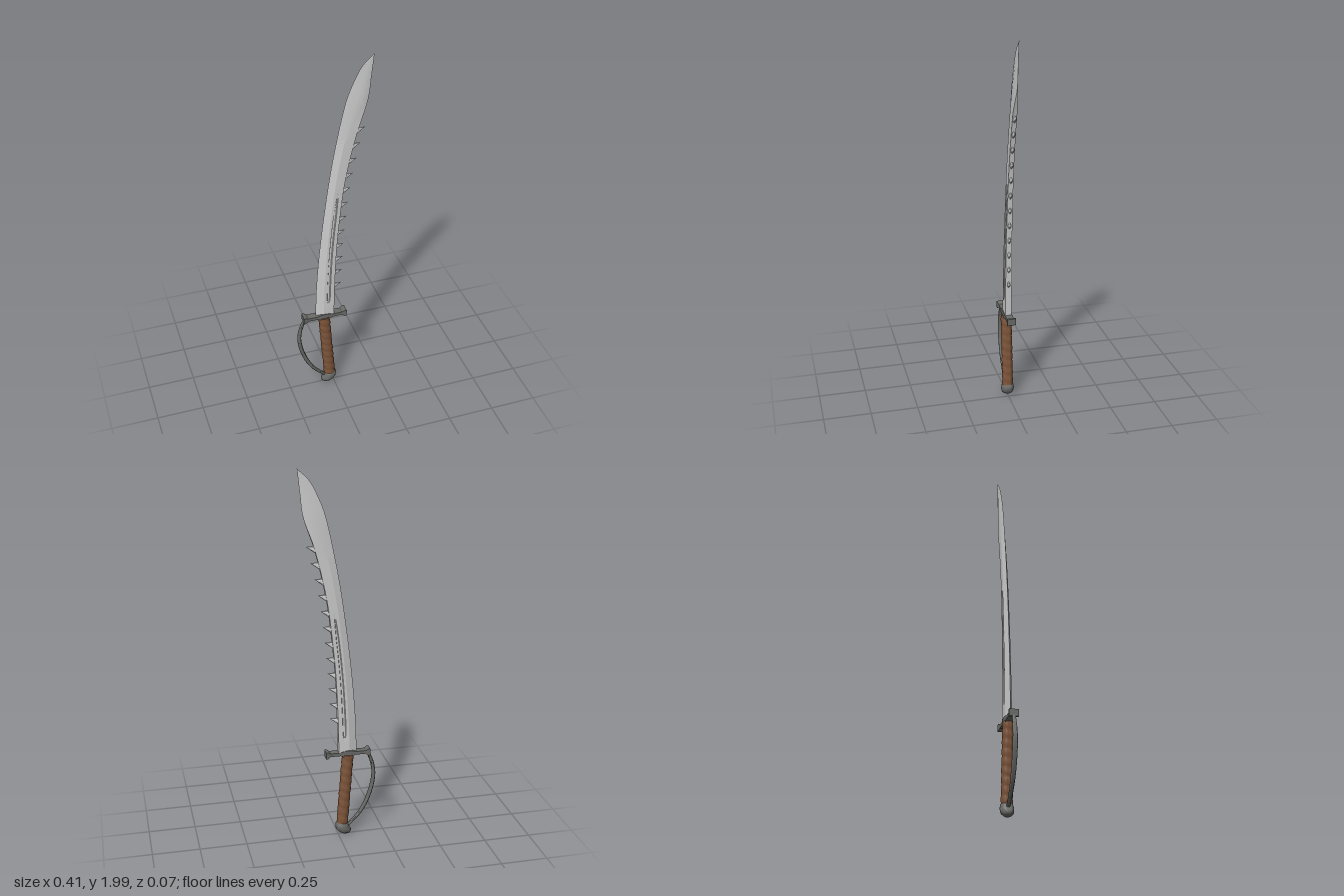
import * as THREE from 'three';
import { toCreasedNormals } from 'three/addons/utils/BufferGeometryUtils.js';

const steel = new THREE.MeshStandardMaterial({ color: 0xcccccc });
const iron = new THREE.MeshStandardMaterial({ color: 0x6a6a68 });
const leather = new THREE.MeshStandardMaterial({ color: 0x7d5439 });

// Skin a list of equal-length rings of [x, y, z] and close both ends.
function loft(rings, crease) {
  const n = rings[0].length;
  const pos = rings.flat(2);
  const idx = [];
  for (let r = 0; r < rings.length - 1; r++) {
    for (let i = 0; i < n; i++) {
      const a = r * n + i, b = r * n + (i + 1) % n;
      idx.push(a, b, b + n, a, b + n, a + n);
    }
  }
  [0, rings.length - 1].forEach((r) => {
    const mid = [0, 1, 2].map((k) => rings[r].reduce((s, p) => s + p[k], 0) / n);
    const c = pos.length / 3;
    pos.push(...mid);
    for (let i = 0; i < n; i++) {
      const a = r * n + i, b = r * n + (i + 1) % n;
      if (r === 0) idx.push(c, b, a);
      else idx.push(c, a, b);
    }
  });
  const g = new THREE.BufferGeometry();
  g.setAttribute('position', new THREE.Float32BufferAttribute(pos, 3));
  g.setIndex(idx);
  return toCreasedNormals(g, crease);
}

// Sweep an ellipse along stations [x, y, radius in plane, radius in z].
function sweep(stations, sides, crease, turn = 0, ripple = () => 1) {
  const last = stations.length - 1;
  return loft(stations.map(([x, y, r, rz], k) => {
    const p = stations[Math.max(k - 1, 0)], q = stations[Math.min(k + 1, last)];
    const d = new THREE.Vector2(q[0] - p[0], q[1] - p[1]).normalize();
    return Array.from({ length: sides }, (_, i) => {
      const a = turn + i / sides * Math.PI * 2;
      const f = ripple(k / last, a);
      const u = r * f * Math.cos(a);
      return [x - d.y * u, y + d.x * u, rz * f * Math.sin(a)];
    });
  }), crease);
}

// Smooth x-at-height lookup through [x, y] points.
function outline(points) {
  const pts = new THREE.CatmullRomCurve3(points.map(([x, y]) => new THREE.Vector3(x, y, 0)), false, 'centripetal').getPoints(300);
  return (y) => {
    let i = 1;
    while (i < pts.length - 1 && pts[i].y < y) i++;
    const a = pts[i - 1], b = pts[i];
    return THREE.MathUtils.lerp(a.x, b.x, THREE.MathUtils.clamp((y - a.y) / (b.y - a.y), 0, 1));
  };
}

const edgeX = outline([[-0.1, 0.49], [-0.091, 0.71], [-0.065, 1], [-0.02, 1.345], [0.012, 1.53],
  [0.065, 1.77], [0.095, 1.85], [0.145, 1.945], [0.203, 2]]);
const spineX = outline([[0, 0.49], [0.004, 0.68], [0.015, 0.92], [0.034, 1.13], [0.058, 1.32],
  [0.1, 1.52], [0.127, 1.62], [0.177, 1.77], [0.19, 1.88], [0.203, 2]]);

// Blade: sharp front edge, thick spine, a fuller on both faces, double-edged tip.
function bladeGeometry() {
  const rows = 90;
  const rings = [];
  for (let k = 0; k <= rows; k++) {
    const y = 0.49 + 1.51 * (1 - (1 - k / rows) ** 1.25);
    const L = edgeX(y), R = spineX(y);
    const tip = THREE.MathUtils.smoothstep(y, 1.72, 2);
    const t = THREE.MathUtils.lerp(0.018, 0.009, (y - 0.49) / 1.51) * (1 - tip * 0.9);
    const spine = t * (1 - THREE.MathUtils.smoothstep(y, 1.62, 1.8)) * 0.95 + 0.0004;
    const inFuller = THREE.MathUtils.clamp(Math.min((y - 0.57) / 0.03, (1.28 - y) / 0.15), 0, 1);
    const deep = t - 0.006 * inFuller;
    const w = 0.03 + 0.06 * inFuller;
    const half = [[0.42 + 0.08 * tip, t], [0.67 - w, t], [0.7 - w, deep], [0.64 + w, deep], [0.67 + w, t], [1, spine]];
    const at = ([u, z], s) => [L + (R - L) * u, y, z * s];
    rings.push([[L, y, 0], ...half.map((p) => at(p, 1)), ...half.slice().reverse().map((p) => at(p, -1))]);
  }
  return loft(rings, 0.3);
}

export function createModel() {
  const model = new THREE.Group();
  const add = (name, geometry, material, parent = model) => {
    const m = new THREE.Mesh(geometry, material);
    m.name = name;
    parent.add(m);
  };

  add('blade', bladeGeometry(), steel);

  // Saw teeth along the spine
  const teeth = new THREE.Group();
  teeth.name = 'sawTeeth';
  model.add(teeth);
  for (let i = 0; i < 12; i++) {
    const y = 0.69 + i * 0.0841;
    const x = spineX(y - 0.012);
    add('tooth', sweep([[x - 0.008, y - 0.014, 0.02, 0.009], [x + 0.04, y, 0.0006, 0.0006]], 8, 0.6), steel, teeth);
  }

  // Crossguard: square bar with flared ends and a swollen middle
  const s = Math.SQRT2;
  const bar = [[-0.17, 0.018, 0.024], [-0.158, 0.018, 0.024], [-0.145, 0.009, 0.019], [-0.09, 0.009, 0.02],
    [-0.075, 0.015, 0.021], [-0.05, 0.018, 0.022], [-0.025, 0.015, 0.021], [-0.01, 0.009, 0.02],
    [0.045, 0.009, 0.019], [0.058, 0.018, 0.024], [0.07, 0.018, 0.024]];
  add('crossguard', sweep(bar.map(([x, h, d]) => [x, 0.488, h * s, d * s]), 4, 0.4, Math.PI / 4), iron);

  // Grip: slanted handle with a spiral leather wrap
  const grip = Array.from({ length: 81 }, (_, k) => {
    const t = k / 80;
    return [-0.021 - 0.031 * t, 0.065 + 0.415 * t, 0.03, 0.028];
  });
  add('grip', sweep(grip, 24, 0.8, 0, (t, a) => 0.97 + 0.09 * Math.abs(Math.sin(t * Math.PI * 9 + a / 2))), leather);

  // Pommel: rounded cap hooking toward the knuckle bow
  add('pommel', sweep([[-0.018, 0.08, 0.027, 0.026], [-0.018, 0.073, 0.033, 0.031], [-0.02, 0.058, 0.036, 0.034],
    [-0.029, 0.044, 0.033, 0.034], [-0.04, 0.035, 0.028, 0.031], [-0.052, 0.028, 0.022, 0.025],
    [-0.062, 0.022, 0.015, 0.016], [-0.067, 0.019, 0.004, 0.005]], 24, 1), iron);

  // Knuckle bow: curved strap from guard to pommel
  const bow = new THREE.CatmullRomCurve3([[-0.158, 0.485], [-0.181, 0.43], [-0.193, 0.36], [-0.183, 0.28],
    [-0.153, 0.19], [-0.112, 0.12], [-0.05, 0.055]].map(([x, y]) => new THREE.Vector3(x, y, 0)));
  add('knuckleBow', sweep(bow.getPoints(40).map((p, k) => {
    const swell = Math.sin(k / 40 * Math.PI);
    return [p.x, p.y, 0.008 + 0.003 * swell, 0.009 + 0.004 * swell];
  }), 12, 1), iron);

  return model;
}
